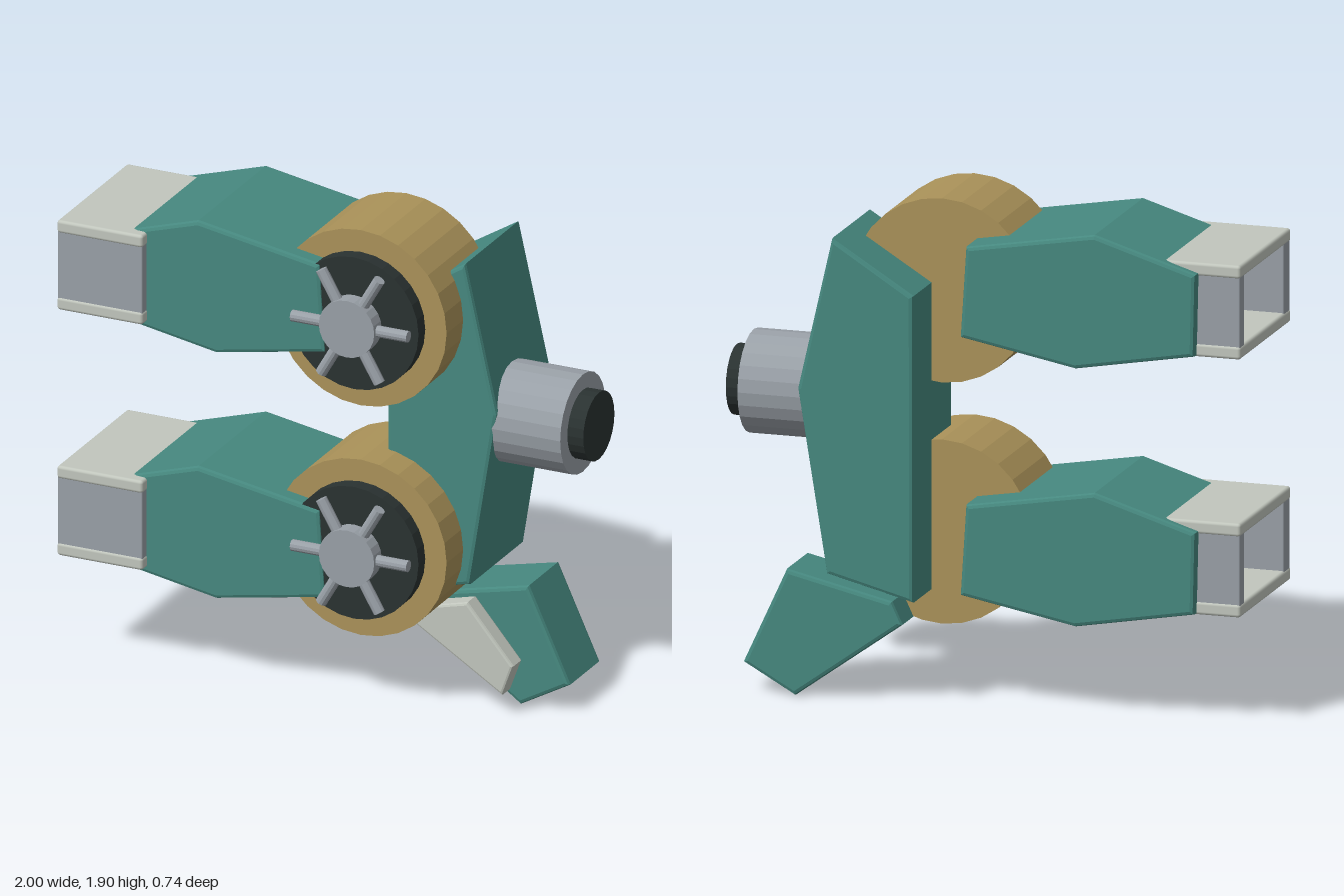
import * as THREE from 'three';
import { RoundedBoxGeometry } from 'three/addons/geometries/RoundedBoxGeometry.js';

const material = (name, color, flatShading = false) => {
  const m = new THREE.MeshStandardMaterial({ color, flatShading });
  m.name = name;
  return m;
};

export function createModel() {
  const teal = material('teal', 0x46887f);
  const gold = material('gold', 0xaa9259, true);
  const dark = material('charcoal', 0x2a3231, true);
  const grey = material('grey', 0x99a0a7, true);
  const pale = material('pale', 0xc1c6bd);

  const model = new THREE.Group();
  model.name = 'model';

  const add = (parent, name, geometry, mat) => {
    const mesh = new THREE.Mesh(geometry, mat);
    mesh.name = name;
    parent.add(mesh);
    return mesh;
  };

  // Bevelled prism: outline in x/y, spanning z0..z1
  const prism = (points, z0, z1, bevel = 0.015) => {
    const shape = new THREE.Shape(points.map(([x, y]) => new THREE.Vector2(x, y)));
    return new THREE.ExtrudeGeometry(shape, {
      depth: z1 - z0 - 2 * bevel,
      bevelEnabled: true,
      bevelSize: bevel,
      bevelThickness: bevel,
      bevelOffset: -bevel,
      bevelSegments: 2,
    }).translate(0, 0, z0 + bevel);
  };

  // Cylinders along z and along x
  const discZ = (r, z0, z1, sides) =>
    new THREE.CylinderGeometry(r, r, z1 - z0, sides).rotateX(Math.PI / 2).translate(0, 0, (z0 + z1) / 2);
  const discX = (r, x0, x1, sides) =>
    new THREE.CylinderGeometry(r, r, x1 - x0, sides).rotateZ(-Math.PI / 2).translate((x0 + x1) / 2, 0, 0);

  // Box given by its limits
  const box = (x0, x1, y0, y1, z0, z1, r) =>
    new RoundedBoxGeometry(x1 - x0, y1 - y0, z1 - z0, 2, r)
      .translate((x0 + x1) / 2, (y0 + y1) / 2, (z0 + z1) / 2);

  // Main spine block
  add(model, 'body', prism(
    [[0.23, 0.41], [0.565, 0.495], [0.677, 1.19], [0.545, 1.77], [0.23, 1.575]], -0.367, 0.105), teal);

  // Rear socket
  const socket = new THREE.Group();
  socket.name = 'socket';
  socket.position.set(0, 1.135, -0.09);
  add(socket, 'socketSleeve', discX(0.194, 0.5, 0.935, 24), grey);
  add(socket, 'socketPin', discX(0.133, 0.9, 1.0, 24), dark);
  model.add(socket);

  // Lower fin with its pale side plate
  add(model, 'fin', prism(
    [[0.3, 0.3], [0.715, 0], [0.915, 0.112], [0.747, 0.478], [0.34, 0.385]], -0.283, -0.012), teal);
  add(model, 'finPlate', prism(
    [[0.3, 0.335], [0.702, 0.083], [0.747, 0.205], [0.56, 0.427], [0.335, 0.37]], 0.035, 0.115, 0.01), pale);

  // Wheel hubs
  const makeHub = (y) => {
    const hub = new THREE.Group();
    hub.name = 'hub';
    hub.position.set(0.19, y, 0);
    add(hub, 'hubDrum', discZ(0.35, -0.142, 0.246, 28), gold);
    add(hub, 'hubDisc', discZ(0.263, 0.24, 0.304, 28), dark);
    add(hub, 'hubCap', discZ(0.113, 0.29, 0.368, 24), grey);
    for (let i = 0; i < 6; i++) {
      const spoke = add(hub, 'spoke', discX(0.022, 0.05, 0.237, 12), grey);
      spoke.position.z = 0.335;
      spoke.rotation.z = (i * Math.PI) / 3;
    }
    model.add(hub);
  };

  // Arms with a hollow square nozzle
  const makeArm = (y) => {
    const arm = new THREE.Group();
    arm.name = 'arm';
    arm.position.y = y;
    add(arm, 'armBody', prism(
      [[-0.83, 0.43], [-0.37, 0.348], [0.075, 0.432], [0.053, 0.777], [-0.445, 0.862], [-0.837, 0.742]],
      -0.285, 0.312), teal);
    for (const y0 of [0.424, 0.731]) {
      add(arm, 'nozzlePlate', box(-1, -0.65, y0, y0 + 0.05, -0.25, 0.352, 0.012), pale);
    }
    for (const [z0, z1] of [[-0.245, -0.19], [0.275, 0.347]]) {
      add(arm, 'nozzleWall', box(-0.997, -0.653, 0.46, 0.745, z0, z1, 0.005), grey);
    }
    model.add(arm);
  };

  makeHub(0.632);
  makeHub(1.548);
  makeArm(0);
  makeArm(0.98);
  return model;
}
